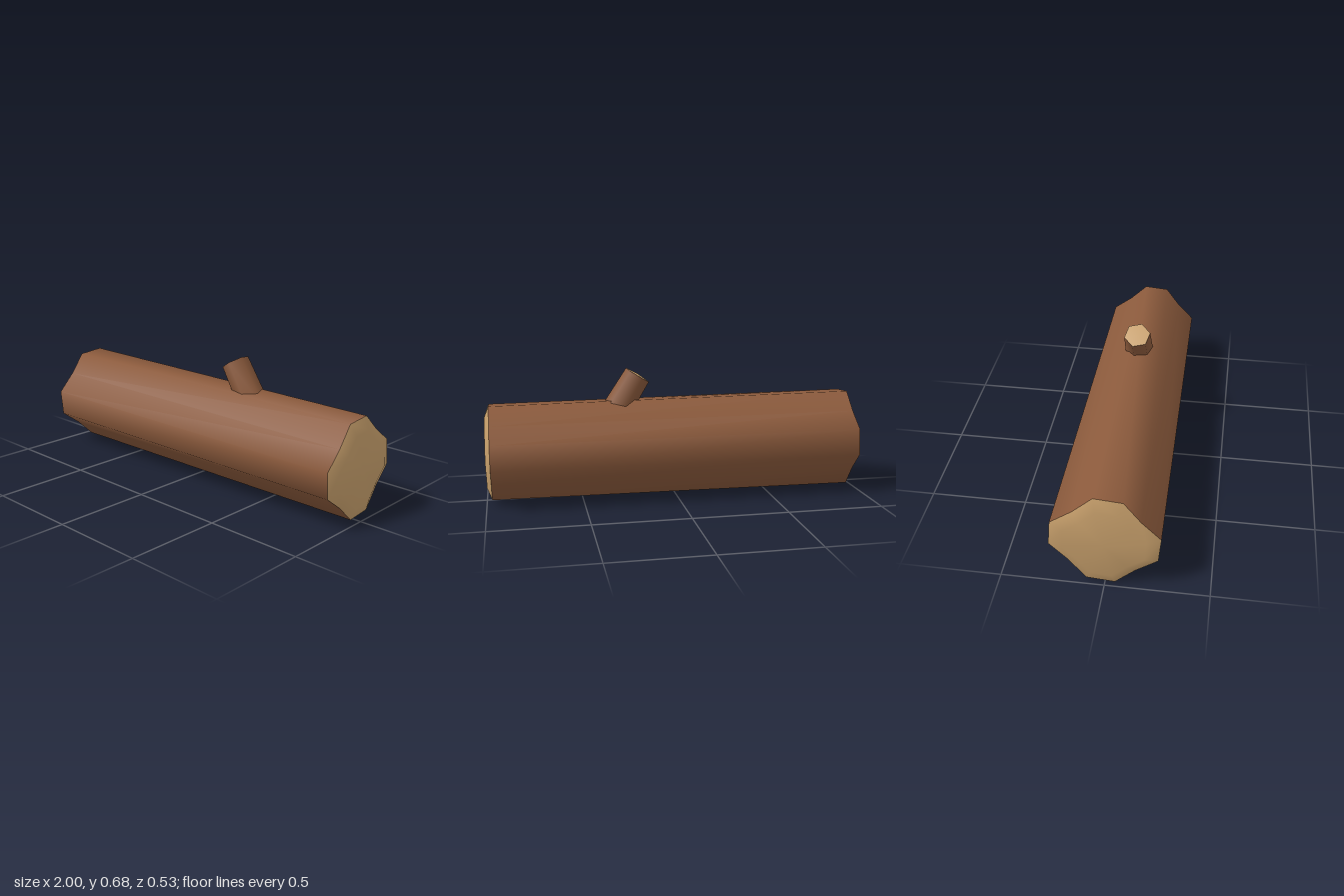
import * as THREE from 'three';
import { mergeVertices } from 'three/addons/utils/BufferGeometryUtils.js';

const rad = THREE.MathUtils.degToRad;

// Smooth low-poly surface around the y axis; scaleAt(k) pushes side k in or out
function turned(name, profile, sides, startDeg, color, scaleAt = () => 1) {
  const points = profile.map(([r, y]) => new THREE.Vector2(r, y));
  let geometry = new THREE.LatheGeometry(points, sides, rad(startDeg));
  const pos = geometry.attributes.position;
  for (let i = 0; i < pos.count; i++) {
    const s = scaleAt(Math.floor(i / points.length) % sides);
    pos.setX(i, pos.getX(i) * s);
    pos.setZ(i, pos.getZ(i) * s);
  }
  // Weld the seam so shading runs smoothly all the way round
  geometry.deleteAttribute('uv');
  geometry.deleteAttribute('normal');
  geometry = mergeVertices(geometry, 1e-4);
  geometry.computeVertexNormals();
  const mesh = new THREE.Mesh(geometry, new THREE.MeshStandardMaterial({ color }));
  mesh.name = name;
  return mesh;
}

export function createModel() {
  const model = new THREE.Group();
  model.name = 'log';
  const bark = 0x8b5a3c, wood = 0xc8a06c;

  // Trunk lying along x: every third side is pulled in to give the gnarled outline
  const trunk = new THREE.Group();
  trunk.name = 'trunk';
  const gnarl = (k) => (k % 3 === 2 ? 0.835 : 1);
  const r0 = 0.267, r1 = 0.253;
  trunk.add(
    turned('trunkBark', [[r0, -0.972], [r1, 0.972]], 12, -10, bark, gnarl),
    turned('leftCutEnd', [[r1, 0.972], [r1 * 0.75, 0.996], [0, 1]], 12, -10, wood, gnarl),
    turned('rightCutEnd', [[0, -1], [r0 * 0.75, -0.996], [r0, -0.972]], 12, -10, wood, gnarl),
  );
  trunk.rotation.z = -Math.PI / 2;
  trunk.position.y = 0.263;
  model.add(trunk);

  // Stub of a sawn-off branch leaning towards -x
  const branch = new THREE.Group();
  branch.name = 'branch';
  branch.add(
    turned('branchBark', [[0.079, -0.28], [0.071, 0]], 6, 15, bark),
    turned('branchCutEnd', [[0.071, 0], [0, 0.006]], 6, 15, wood),
  );
  branch.rotation.z = rad(32);
  branch.position.set(0.192, 0.645, 0);
  model.add(branch);

  return model;
}
